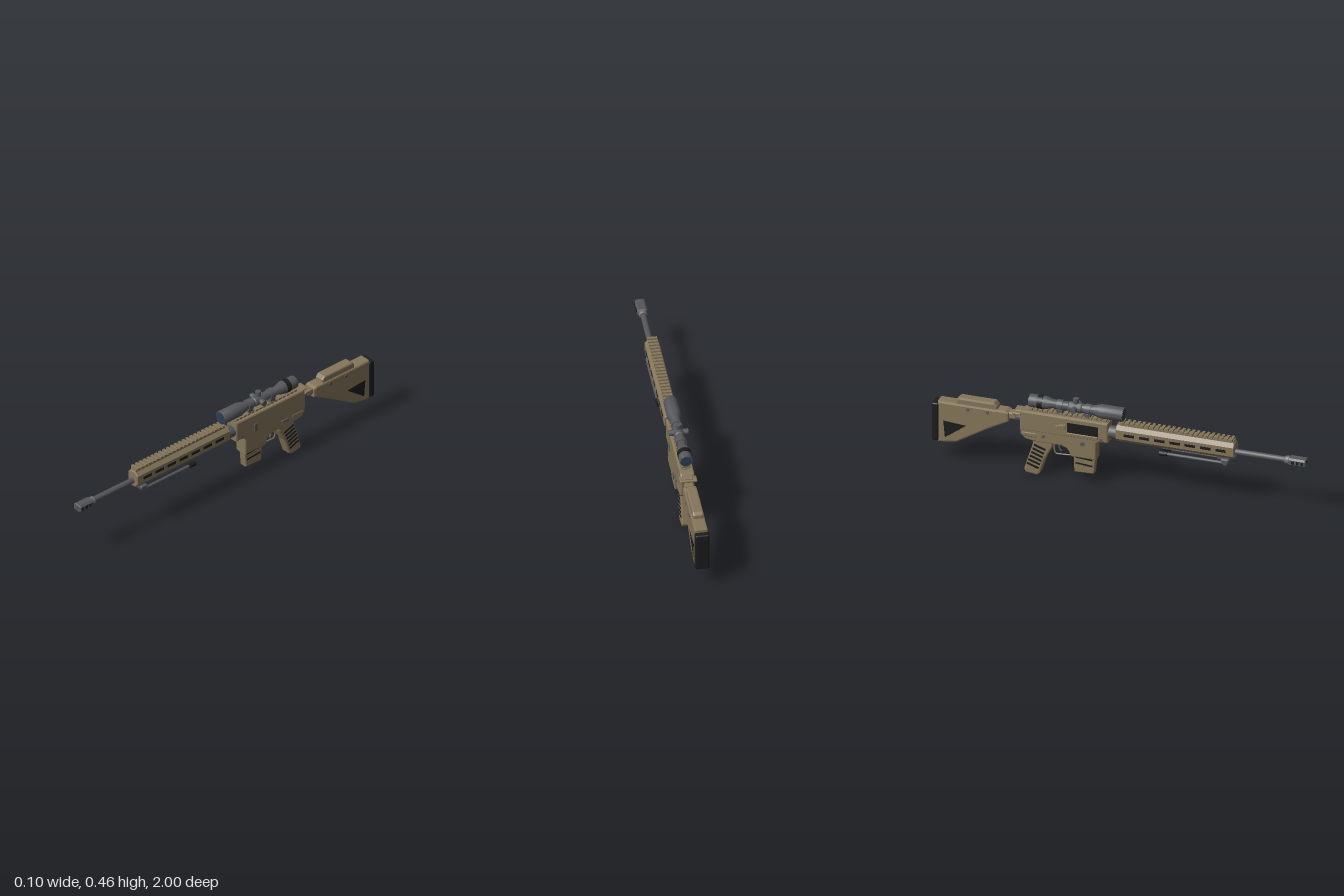
import * as THREE from 'three';
import { mergeGeometries, toCreasedNormals } from 'three/addons/utils/BufferGeometryUtils.js';
import { RoundedBoxGeometry } from 'three/addons/geometries/RoundedBoxGeometry.js';

export function createModel() {
  const model = new THREE.Group();
  model.name = 'scopedRifle';
  const mat = (name, color) => {
    const m = new THREE.MeshStandardMaterial({ color });
    m.name = name;
    return m;
  };
  const tan = mat('tan', 0x86765a);
  const gray = mat('gunmetal', 0x55565a);
  const steel = mat('lightSteel', 0x6c6d70);
  const black = mat('black', 0x1c1c1c);
  const glass = mat('glass', 0x2c3f56);

  const add = (name, geo, material) => {
    const mesh = new THREE.Mesh(geo, material);
    mesh.name = name;
    model.add(mesh);
    return mesh;
  };
  const box = (w, h, d, x, y, z, rx = 0) =>
    new THREE.BoxGeometry(w, h, d).rotateX(rx).translate(x, y, z);
  const round = (w, h, d, x, y, z, r) =>
    new RoundedBoxGeometry(w, h, d, 2, r).translate(x, y, z);
  // Cylinder along z between z0 and z1
  const tubeZ = (r, z0, z1, y, x = 0, seg = 24) =>
    new THREE.CylinderGeometry(r, r, Math.abs(z1 - z0), seg).rotateX(Math.PI / 2).translate(x, y, (z0 + z1) / 2);
  // Cylinder along x
  const tubeX = (r, len, x, y, z, seg = 16) =>
    new THREE.CylinderGeometry(r, r, len, seg).rotateZ(Math.PI / 2).translate(x, y, z);
  const shapeOf = (pts) => new THREE.Shape(pts.map(([a, b]) => new THREE.Vector2(a, b)));
  // Side profile given as [z, y], extruded across x, outline kept by the bevel
  const profile = (pts, half, bevel, x = 0) =>
    new THREE.ExtrudeGeometry(shapeOf(pts), {
      depth: 2 * (half - bevel), bevelEnabled: bevel > 0, bevelSize: bevel,
      bevelThickness: bevel, bevelOffset: -bevel, bevelSegments: 2,
    }).translate(0, 0, -(half - bevel)).rotateY(-Math.PI / 2).translate(x, 0, 0);
  // Cross-section given as [x, y], extruded from z0 to z1
  const section = (pts, z0, z1) =>
    new THREE.ExtrudeGeometry(shapeOf(pts), {
      depth: z1 - z0 - 0.008, bevelSize: 0.004, bevelThickness: 0.004, bevelOffset: -0.004, bevelSegments: 1,
    }).translate(0, 0, z0 + 0.004);
  const octagon = (w, h, cx, cy, y) => [
    [w, y - h + cy], [w, y + h - cy], [w - cx, y + h], [cx - w, y + h],
    [-w, y + h - cy], [-w, y - h + cy], [cx - w, y - h], [w - cx, y - h]];
  // Profile [radius, z] turned about the z axis at height y
  const turned = (pts, y) => toCreasedNormals(
    new THREE.LatheGeometry(pts.map(([r, z]) => new THREE.Vector2(r, z)), 32)
      .rotateX(Math.PI / 2).translate(0, y, 0), 0.5);
  const sides = [1, -1];

  // Barrel and muzzle brake
  const bore = 0.3;
  add('barrel', tubeZ(0.0155, 0.6, 0.92, bore), gray);
  add('muzzleCollar', turned([[0, 0.885], [0.018, 0.885], [0.022, 0.892], [0.022, 0.91], [0, 0.916]], bore), steel);
  add('muzzleBrake', section(octagon(0.027, 0.021, 0.009, 0.009, bore), 0.908, 1), gray);
  add('muzzleBore', tubeZ(0.01, 0.995, 1, bore), black);
  const ports = [];
  for (const s of sides) for (let i = 0; i < 3; i++) ports.push(box(0.003, 0.018, 0.014, s * 0.0265, bore, 0.933 + i * 0.025));
  add('brakePorts', mergeGeometries(ports), black);

  // Handguard with side slots
  add('handguard', section(octagon(0.037, 0.046, 0.019, 0.021, 0.311), -0.015, 0.62), tan);
  const slots = [];
  for (const s of sides) for (let i = 0; i < 7; i++) slots.push(round(0.004, 0.017, 0.056, s * 0.0365, 0.312, 0.55 - i * 0.082, 0.0018));
  add('handguardSlots', mergeGeometries(slots), black);
  add('barrelNut', tubeZ(0.033, -0.07, -0.01, 0.302), gray);

  // Toothed top rails
  const rail = (name, z0, z1) => {
    const parts = [box(0.038, 0.014, z1 - z0, 0, 0.36, (z0 + z1) / 2)];
    const n = Math.round((z1 - z0) / 0.0265);
    const pitch = (z1 - z0) / n;
    for (let i = 0; i < n; i++) parts.push(box(0.05, 0.011, pitch * 0.55, 0, 0.3705, z0 + (i + 0.5) * pitch));
    add(name, mergeGeometries(parts), tan);
  };
  rail('frontRail', 0.005, 0.615);
  rail('receiverRail', -0.485, -0.06);

  // Folded bipod
  add('bipodMount', round(0.04, 0.02, 0.07, 0, 0.261, 0.56, 0.004), gray);
  add('bipodYoke', round(0.074, 0.022, 0.045, 0, 0.252, 0.57, 0.007), gray);
  for (const s of sides) {
    add('bipodHinge', tubeX(0.012, 0.016, s * 0.028, 0.24, 0.572), gray);
    add('bipodLeg', tubeZ(0.008, 0.24, 0.575, 0.24, s * 0.028, 12), gray);
    add('bipodFoot', tubeZ(0.0125, 0.22, 0.262, 0.24, s * 0.028, 12), black);
  }

  // Receiver
  add('upperReceiver', profile([[-0.055, 0.25], [-0.055, 0.362], [-0.515, 0.362], [-0.528, 0.345], [-0.528, 0.25]], 0.037, 0.008), tan);
  add('lowerReceiver', profile([
    [-0.058, 0.29], [-0.525, 0.29], [-0.525, 0.23], [-0.5, 0.205], [-0.45, 0.196], [-0.305, 0.196],
    [-0.275, 0.185], [-0.262, 0.165], [-0.255, 0.142], [-0.12, 0.142], [-0.12, 0.235], [-0.105, 0.248], [-0.058, 0.25]], 0.036, 0.006), tan);
  add('rearLug', round(0.076, 0.034, 0.09, 0, 0.232, -0.475, 0.012), tan);
  add('boltCatch', round(0.008, 0.05, 0.02, 0.038, 0.282, -0.187, 0.003), gray);
  add('selector', round(0.012, 0.012, 0.045, 0.038, 0.236, -0.385, 0.004), gray);
  add('selectorPivot', tubeX(0.009, 0.084, 0, 0.233, -0.4), gray);
  add('frontPin', tubeX(0.008, 0.078, 0, 0.263, -0.09), gray);
  add('magazineRelease', tubeX(0.011, 0.01, -0.038, 0.225, -0.19), gray);
  add('ejectionPort', box(0.006, 0.058, 0.165, -0.0355, 0.305, -0.19), black);
  add('portCover', round(0.008, 0.014, 0.165, -0.039, 0.272, -0.19, 0.003), tan);
  add('caseDeflector', profile([[-0.28, 0.325], [-0.28, 0.295], [-0.32, 0.295], [-0.335, 0.31]], 0.01, 0.003, -0.038), tan);

  // Charging handle
  add('chargingHandle', round(0.09, 0.014, 0.045, 0, 0.341, -0.543, 0.005), tan);
  add('chargingStem', round(0.05, 0.02, 0.05, 0, 0.345, -0.53, 0.005), tan);

  // Magazine with grooves
  add('magazine', profile([[-0.125, 0.16], [-0.245, 0.16], [-0.24, 0.05], [-0.135, 0.054]], 0.0215, 0.005), tan);
  const grooves = [];
  for (const s of sides) for (const y of [0.134, 0.1]) grooves.push(box(0.003, 0.009, 0.09, s * 0.021, y, -0.187, 0.08));
  add('magazineGrooves', mergeGeometries(grooves), black);

  // Trigger and guard
  const wire = (pts, r) => new THREE.TubeGeometry(
    new THREE.CatmullRomCurve3(pts.map(([z, y]) => new THREE.Vector3(0, y, z)), false, 'catmullrom', 0.2), 20, r, 8);
  add('triggerGuard', wire([[-0.255, 0.15], [-0.27, 0.132], [-0.34, 0.128], [-0.352, 0.145], [-0.355, 0.2]], 0.004), tan);
  add('trigger', wire([[-0.318, 0.2], [-0.325, 0.175], [-0.325, 0.16], [-0.314, 0.145]], 0.005), gray);

  // Pistol grip with slanted grooves
  add('grip', profile([
    [-0.35, 0.205], [-0.455, 0.205], [-0.465, 0.165], [-0.508, 0.025], [-0.5, 0.008],
    [-0.44, 0], [-0.423, 0.012], [-0.395, 0.1], [-0.358, 0.17]], 0.0275, 0.008), tan);
  const cuts = [];
  for (const s of sides) for (let i = 0; i < 6; i++)
    cuts.push(box(0.004, 0.011, 0.066, s * 0.0275, 0.163 - i * 0.022, -0.422 - i * 0.0075, 0.34));
  add('gripGrooves', mergeGeometries(cuts), black);

  // Stock
  add('bufferTube', tubeZ(0.024, -0.62, -0.52, 0.309), gray);
  add('bufferSleeve', round(0.05, 0.036, 0.05, 0, 0.315, -0.575, 0.008), tan);
  add('stock', profile([
    [-0.588, 0.332], [-0.605, 0.34], [-0.968, 0.34], [-0.968, 0.108], [-0.94, 0.11],
    [-0.865, 0.122], [-0.7, 0.222], [-0.588, 0.283]], 0.0345, 0.009), tan);
  add('cheekRest', profile([
    [-0.65, 0.33], [-0.652, 0.355], [-0.668, 0.373], [-0.855, 0.373], [-0.87, 0.36], [-0.872, 0.33]], 0.028, 0.008), tan);
  add('buttPad', round(0.074, 0.214, 0.036, 0, 0.22, -0.982, 0.008), black);
  for (const s of sides) {
    add('stockCutout', profile([[-0.815, 0.224], [-0.937, 0.234], [-0.928, 0.14]], 0.002, 0, s * 0.0345), black);
    for (const z of [-0.7, -0.805]) add('stockScrew', tubeX(0.009, 0.008, s * 0.034, 0.317, z), gray);
  }

  // Scope
  const sight = 0.411;
  add('scopeBody', turned([
    [0, -0.484], [0.032, -0.484], [0.034, -0.478], [0.034, -0.395], [0.023, -0.36], [0.023, -0.275],
    [0.027, -0.27], [0.027, -0.205], [0.023, -0.2], [0.023, -0.15], [0.037, -0.1], [0.037, 0.016], [0.0355, 0.02], [0, 0.02]], sight), gray);
  add('focusRing', tubeZ(0.036, -0.438, -0.41, sight, 0, 32), black);
  add('frontLens', tubeZ(0.033, 0.016, 0.0215, sight, 0, 32), glass);
  add('rearLens', tubeZ(0.028, -0.486, -0.48, sight, 0, 32), glass);
  add('sideTurrets', tubeX(0.0155, 0.1, 0, sight, -0.237, 20), gray);
  add('topTurret', new THREE.CylinderGeometry(0.0155, 0.0155, 0.05, 20).translate(0, 0.437, -0.237), gray);
  for (const z of [-0.17, -0.32]) {
    add('scopeRing', tubeZ(0.028, z - 0.015, z + 0.015, sight), gray);
    add('scopeMount', round(0.044, 0.026, 0.034, 0, 0.382, z, 0.004), gray);
  }

  return model;
}
